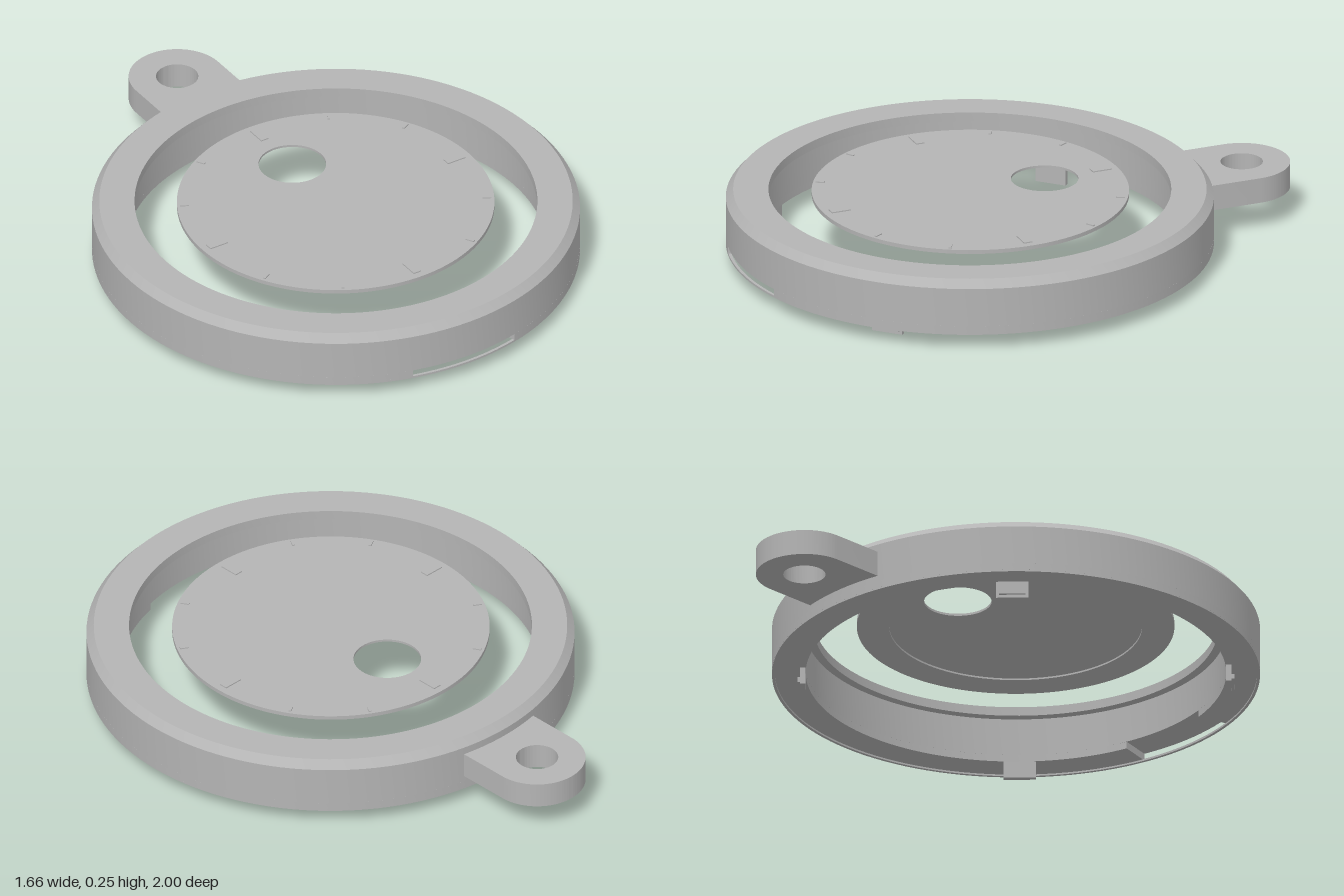
import * as THREE from 'three';
import { toCreasedNormals } from 'three/addons/utils/BufferGeometryUtils.js';

const CZ = 0.165; // z of the ring axis

export function createModel() {
  const model = new THREE.Group();
  model.name = 'pendantDial';
  const grey = new THREE.MeshStandardMaterial({ color: 0xb4b4b4 });
  grey.name = 'plain grey';

  const add = (parent, name, geometry, x = 0, y = 0, z = 0) => {
    const mesh = new THREE.Mesh(geometry, grey);
    mesh.name = name;
    mesh.position.set(x, y, z);
    parent.add(mesh);
    return mesh;
  };
  const lathe = (pts) => toCreasedNormals(
    new THREE.LatheGeometry(pts.map(([r, y]) => new THREE.Vector2(r, y)), 128), 0.4);
  // Flat plate lying in the ground plane; shape y points to -z
  const plate = (shape, depth) => {
    const g = new THREE.ExtrudeGeometry(shape, { depth, bevelEnabled: false, curveSegments: 96 });
    return toCreasedNormals(g.rotateX(-Math.PI / 2), 0.4);
  };
  const circle = (r, y = 0) => new THREE.Path().absarc(0, y, r, 0, Math.PI * 2, true);
  const disc = (r, ...holes) => {
    const s = new THREE.Shape().absarc(0, 0, r, 0, Math.PI * 2, false);
    s.holes.push(...holes);
    return s;
  };

  // Ring body: chamfered outside, narrow lip at the top of the opening
  const ring = new THREE.Group();
  ring.name = 'ring';
  ring.position.z = CZ;
  model.add(ring);
  add(ring, 'ringBody', lathe([
    [0.715, 0.085], [0.83, 0.085], [0.83, 0.222], [0.805, 0.25],
    [0.685, 0.25], [0.685, 0.218], [0.715, 0.218], [0.715, 0.085],
  ]));

  // Lower band, left open at the front for the pry slot
  const gap = Math.asin(0.205 / 0.83);
  const a0 = -Math.PI / 2 + gap, a1 = Math.PI * 1.5 - gap;
  const band = new THREE.Shape();
  band.absarc(0, 0, 0.83, a0, a1, false);
  band.absarc(0, 0, 0.715, a1, a0, true);
  band.closePath();
  add(ring, 'lowerBand', plate(band, 0.025), 0, 0.06, 0);
  add(ring, 'bottomRim', lathe([
    [0.82, 0.054], [0.83, 0.054], [0.83, 0.061], [0.82, 0.061], [0.82, 0.054],
  ]));

  // Four snap clips on the diagonals
  for (let i = 0; i < 4; i++) {
    const clip = new THREE.Group();
    clip.name = 'clip';
    clip.rotation.y = Math.PI / 4 + i * Math.PI / 2;
    add(clip, 'clipStem', new THREE.BoxGeometry(0.11, 0.065, 0.018), 0, 0.0325, 0.724);
    add(clip, 'clipHook', new THREE.BoxGeometry(0.09, 0.018, 0.012), 0, 0.02, 0.737);
    ring.add(clip);
  }

  // Hanging lug with a hole, at the back
  const lug = new THREE.Shape();
  lug.moveTo(-0.165, 0.625);
  lug.lineTo(0.165, 0.625);
  lug.absarc(0, 0.835, 0.165, 0, Math.PI, false);
  lug.closePath();
  lug.holes.push(circle(0.072, 0.835));
  add(model, 'hangingLug', plate(lug, 0.09), 0, 0.105, 0);

  // Dial disc with an off-centre hole and a raised rim underneath
  const dial = new THREE.Group();
  dial.name = 'dial';
  dial.position.z = CZ - 0.002;
  model.add(dial);
  add(dial, 'dialPlate', plate(disc(0.54, circle(0.115, 0.273)), 0.008), 0, 0.238, 0);
  add(dial, 'dialRim', plate(disc(0.54, circle(0.43)), 0.006), 0, 0.232, 0);

  // Hour marks
  for (let i = 0; i < 12; i++) {
    const quarter = i % 3 === 0;
    const mark = new THREE.Group();
    mark.name = 'hourMark';
    mark.rotation.y = i * Math.PI / 6;
    const size = quarter ? [0.03, 0.004, 0.07] : [0.009, 0.004, 0.03];
    add(mark, 'markBar', new THREE.BoxGeometry(...size), 0, 0.248, quarter ? 0.48 : 0.515);
    dial.add(mark);
  }
  return model;
}
